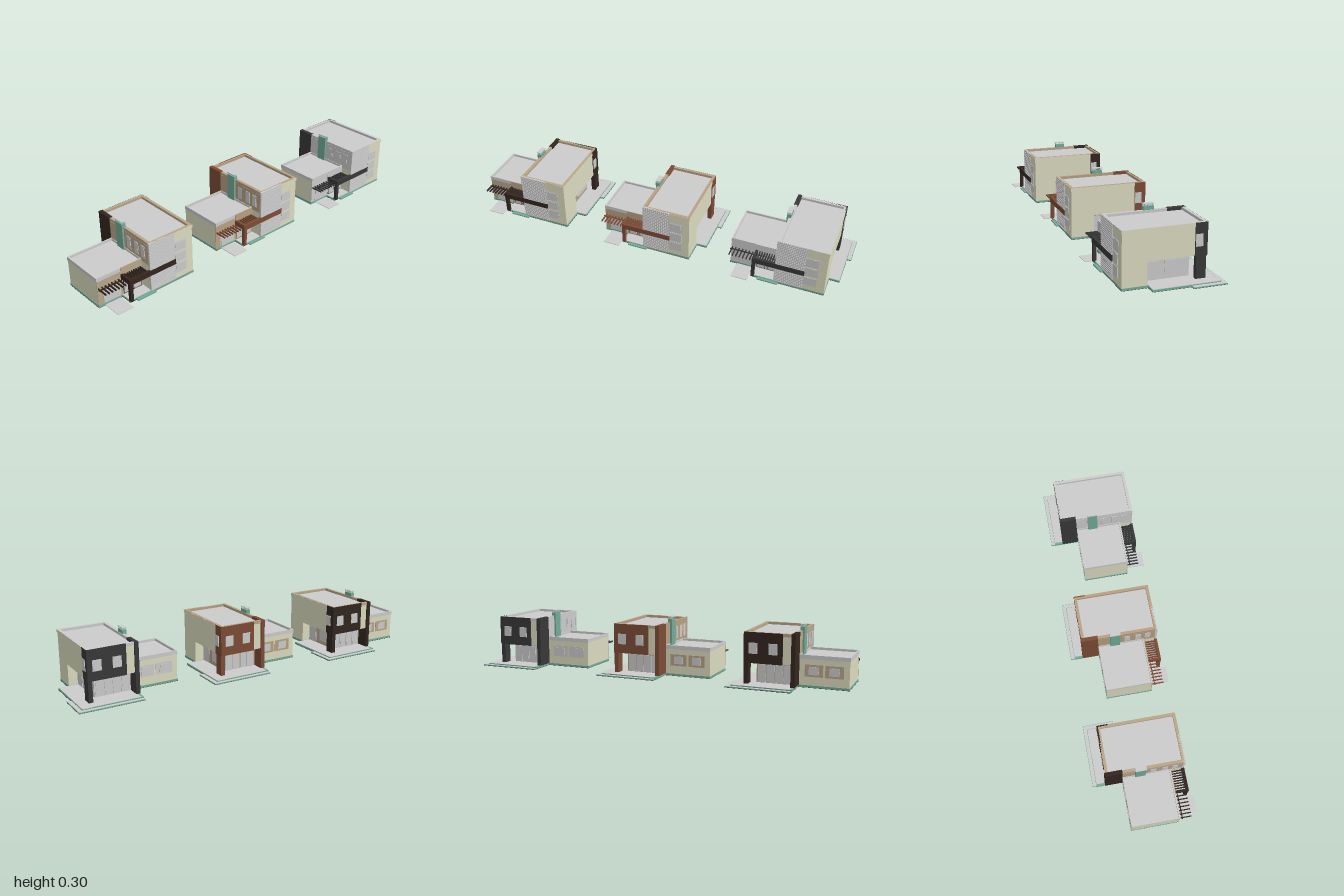
import * as THREE from 'three';

const GREY = 0xcccccc, CREAM = 0xdbdbc0, GREEN = 0x72ab98;
const mats = {};
const mat = (c) => (mats[c] ??= new THREE.MeshStandardMaterial({ color: c }));

// axis-aligned box given by its limits
function box(parent, name, x0, x1, y0, y1, z0, z1, color = GREY) {
  const m = new THREE.Mesh(new THREE.BoxGeometry(x1 - x0, y1 - y0, z1 - z0), mat(color));
  m.position.set((x0 + x1) / 2, (y0 + y1) / 2, (z0 + z1) / 2);
  m.name = name;
  parent.add(m);
  return m;
}

// rectangular rim standing round a flat roof
function parapet(parent, name, x0, x1, y0, y1, z0, z1, t, color) {
  const rect = (C, a, b, c, d) => {
    const s = new C();
    s.moveTo(a, -d); s.lineTo(b, -d); s.lineTo(b, -c); s.lineTo(a, -c); s.closePath();
    return s;
  };
  const s = rect(THREE.Shape, x0, x1, z0, z1);
  s.holes.push(rect(THREE.Path, x0 + t, x1 - t, z0 + t, z1 - t));
  const g = new THREE.ExtrudeGeometry(s, { depth: y1 - y0, bevelEnabled: false });
  g.rotateX(-Math.PI / 2);
  const m = new THREE.Mesh(g, mat(color));
  m.position.y = y0;
  m.name = name;
  parent.add(m);
}

// framed window on a wall; axis is the wall normal, p its plane, s its outward sign
function win(parent, axis, p, s, a0, a1, y0, y1, frame) {
  const put = (name, i, depth, col) => {
    const [q0, q1] = s > 0 ? [p - 0.002, p + depth] : [p - depth, p + 0.002];
    if (axis === 'z') box(parent, name, a0 + i, a1 - i, y0 + i, y1 - i, q0, q1, col);
    else box(parent, name, q0, q1, y0 + i, y1 - i, a0 + i, a1 - i, col);
  };
  put('windowFrame', 0, 0.002, frame);
  put('windowPane', 0.003, 0.003, GREY);
}

function createHouse(accent, wall) {
  const h = new THREE.Group();
  h.name = 'house';

  // ground slabs, paving and terrace
  box(h, 'wingBase', 0, 0.26, 0.001, 0.012, -0.1, 0.147, GREEN);
  box(h, 'porchBase', 0.13, 0.26, 0.001, 0.01, 0.147, 0.21, GREEN);
  box(h, 'porchFloor', 0.132, 0.26, 0.01, 0.012, 0.147, 0.208);
  box(h, 'porchStep', 0.165, 0.27, 0.001, 0.007, 0.2, 0.225, GREEN);
  box(h, 'path', 0.035, 0.12, 0.001, 0.004, 0.14, 0.25);
  box(h, 'mainBase', 0.25, 0.505, 0.001, 0.012, -0.235, 0.212, GREEN);
  box(h, 'sideTerrace', 0.5, 0.558, 0.001, 0.01, -0.235, 0.09, GREEN);
  box(h, 'terraceFloor', 0.262, 0.556, 0.009, 0.0125, -0.233, 0.088);
  box(h, 'rearStep', 0.252, 0.58, 0.001, 0.006, -0.255, -0.092, GREEN);
  box(h, 'rearStepTop', 0.254, 0.578, 0.005, 0.007, -0.253, -0.094);
  box(h, 'wingUnderside', 0, 0.26, 0, 0.0015, -0.1, 0.147, accent);
  box(h, 'mainUnderside', 0.25, 0.505, 0, 0.0012, -0.235, 0.212, accent);
  box(h, 'terraceUnderside', 0.252, 0.58, 0, 0.0014, -0.255, -0.092, accent);
  box(h, 'sideUnderside', 0.5, 0.558, 0, 0.0013, -0.235, 0.09, accent);
  box(h, 'porchUnderside', 0.13, 0.26, 0, 0.0013, 0.147, 0.21, accent);

  // tall block: full front, recessed ground floor behind, overhanging upper floor
  box(h, 'mainFront', 0.252, 0.503, 0.012, 0.122, 0.093, 0.212, CREAM);
  box(h, 'groundFloorRear', 0.256, 0.455, 0.012, 0.122, -0.125, 0.093, wall);
  box(h, 'upperFloor', 0.252, 0.503, 0.122, 0.257, -0.182, 0.212, CREAM);
  box(h, 'overhangSoffit', 0.27, 0.501, 0.119, 0.122, -0.18, 0.093);
  box(h, 'mainRoof', 0.262, 0.493, 0.256, 0.259, -0.172, 0.202);
  parapet(h, 'mainParapet', 0.25, 0.505, 0.257, 0.272, -0.186, 0.214, 0.015, wall);
  box(h, 'rightParapetFace', 0.503, 0.5055, 0.255, 0.2715, -0.13, 0.2145, CREAM);
  box(h, 'frontParapetFace', 0.395, 0.5055, 0.255, 0.2715, 0.212, 0.2148, CREAM);

  // accent cladding round the rear corners
  box(h, 'rearCladding', 0.31, 0.506, 0.118, 0.272, -0.187, -0.18, accent);
  box(h, 'rightCladding', 0.5, 0.506, 0.118, 0.272, -0.187, -0.128, accent);
  box(h, 'rearColumn', 0.483, 0.505, 0.012, 0.12, -0.183, -0.135, accent);
  box(h, 'rearWingWall', 0.247, 0.268, 0.012, 0.273, -0.19, -0.1, accent);
  win(h, 'x', 0.506, 1, -0.165, -0.13, 0.163, 0.22, GREY);
  for (const x of [0.335, 0.435]) win(h, 'z', -0.187, -1, x, x + 0.045, 0.165, 0.22, GREY);

  // ground floor glazing and side door under the overhang
  for (let i = 0; i < 4; i++) win(h, 'z', -0.125, -1, 0.275 + i * 0.044, 0.316 + i * 0.044, 0.014, 0.105, GREY);
  win(h, 'x', 0.455, 1, 0.025, 0.09, 0.013, 0.1, GREY);
  win(h, 'x', 0.455, 1, -0.115, -0.005, 0.03, 0.1, wall);

  // slatted front panel
  box(h, 'slatPanel', 0.248, 0.395, 0.012, 0.272, 0.205, 0.2145);
  for (let i = 0; i < 26; i++) {
    const y = 0.015 + i * 0.01;
    box(h, 'slat', 0.248, 0.395, y, y + 0.005, 0.214, 0.2165);
  }

  // corner window strip, three storeys of panes on the front
  for (let i = 0; i < 3; i++) win(h, 'z', 0.212, 1, 0.396, 0.462, 0.042 + i * 0.06, 0.094 + i * 0.06, GREY);

  // left side of the tall block above the wing
  box(h, 'leftCladding', 0.249, 0.254, 0.15, 0.257, -0.1, 0.212, wall);
  for (const z of [0.04, 0.1, 0.15]) win(h, 'x', 0.249, -1, z, z + 0.03, 0.175, 0.24, GREY);

  // chimney with an open cap
  box(h, 'chimney', 0.24, 0.262, 0.1, 0.29, -0.036, 0.017, GREEN);
  for (const x of [0.242, 0.257]) for (const z of [-0.034, 0.012])
    box(h, 'capPost', x, x + 0.003, 0.29, 0.3, z, z + 0.003);
  box(h, 'chimneyCap', 0.239, 0.263, 0.299, 0.303, -0.037, 0.018);

  // low wing
  box(h, 'wing', 0.002, 0.255, 0.012, 0.148, -0.098, 0.143, CREAM);
  box(h, 'wingFront', 0.001, 0.252, 0.012, 0.148, 0.142, 0.145, wall);
  box(h, 'wingRoof', 0.008, 0.25, 0.147, 0.15, -0.094, 0.138);
  parapet(h, 'wingParapet', 0, 0.253, 0.142, 0.162, -0.1, 0.146, 0.007, GREY);
  box(h, 'wingFrontBand', 0.13, 0.25, 0.125, 0.162, 0.144, 0.148, wall);
  win(h, 'z', 0.145, 1, 0.03, 0.125, 0.014, 0.092, GREY);
  for (const [a, b] of [[0.14, 0.185], [0.195, 0.24]]) win(h, 'z', 0.145, 1, a, b, 0.014, 0.095, accent);
  for (const x of [0.05, 0.15]) {
    box(h, 'rearPanel', x - 0.02, x + 0.07, 0.055, 0.115, -0.1, -0.097, wall);
    win(h, 'z', -0.1, -1, x, x + 0.05, 0.065, 0.105, GREY);
  }

  // window pergola over the path
  for (let i = 0; i < 7; i++) box(h, 'pergolaRib', 0.005 + i * 0.018, 0.01 + i * 0.018, 0.1, 0.108, 0.14, 0.208, accent);
  box(h, 'pergolaRail', 0, 0.125, 0.102, 0.107, 0.158, 0.163, accent);

  // porch canopy: front beam, side beam, ribs and post
  box(h, 'canopyBeam', 0.13, 0.397, 0.1, 0.128, 0.205, 0.219, accent);
  box(h, 'canopySideBeam', 0.13, 0.142, 0.1, 0.128, 0.145, 0.206, accent);
  for (let i = 0; i < 8; i++) box(h, 'canopyRib', 0.15 + i * 0.0125, 0.155 + i * 0.0125, 0.108, 0.122, 0.145, 0.206, accent);
  box(h, 'canopyPost', 0.13, 0.146, 0.008, 0.1, 0.2, 0.218, accent);
  return h;
}

export function createModel() {
  const g = new THREE.Group();
  g.name = 'houseRow';
  // three finishes of the same house: accent and wall colour
  [[0x33261f, 0xb8a68a], [0x7d4c36, 0xb8a083], [0x383838, GREY]].forEach(([accent, wall], i) => {
    const h = createHouse(accent, wall);
    h.position.x = -1 + i * 0.71;
    g.add(h);
  });
  return g;
}
